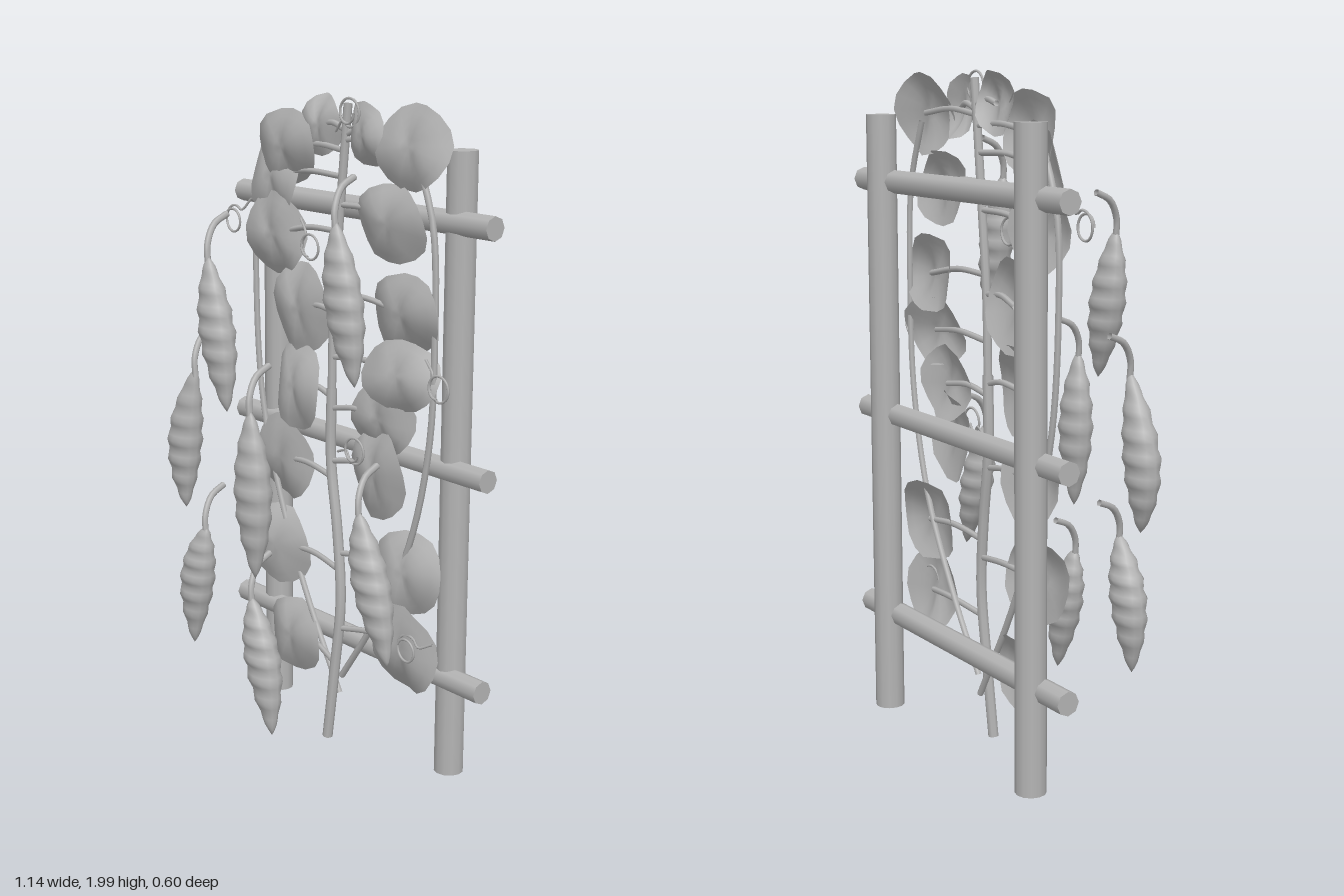
import * as THREE from 'three';
import { mergeVertices } from 'three/addons/utils/BufferGeometryUtils.js';

const grey = new THREE.MeshStandardMaterial({ color: 0xb4b4b4, side: THREE.DoubleSide });
grey.name = 'plain grey';
const V = (x, y, z) => new THREE.Vector3(x, y, z);

function add(parent, name, geometry) {
  const mesh = new THREE.Mesh(geometry, grey);
  mesh.name = name;
  parent.add(mesh);
  return mesh;
}

function addTube(parent, name, points, radius, segments = 10, sides = 6) {
  return add(parent, name, new THREE.TubeGeometry(new THREE.CatmullRomCurve3(points), segments, radius, sides));
}

// Merge seams so that the bent surface stays smooth
function smooth(geometry) {
  geometry.deleteAttribute('uv');
  geometry.deleteAttribute('normal');
  const merged = mergeVertices(geometry, 1e-5);
  merged.computeVertexNormals();
  return merged;
}

// Broad leaf: a thin disc, folded along its vein and rippled at the rim
function leafGeometry(rx, ry, phase) {
  const g = new THREE.RingGeometry(0, 1, 16, 5);
  const p = g.attributes.position;
  for (let i = 0; i < p.count; i++) {
    const x = p.getX(i), y = p.getY(i);
    const r = Math.hypot(x, y), a = Math.atan2(y, x);
    const z = 0.018 - 0.034 * r * r + 0.012 * r * r * Math.sin(3 * a + phase)
      - 0.012 * Math.exp(-x * x * 25);
    const edge = 1 + 0.03 * Math.sin(2 * a + phase);
    p.setXYZ(i, x * rx * edge, y * ry * edge, z);
  }
  return smooth(g);
}

// Pod: lens-shaped section, pinched between the seeds, bent along a curve
function podGeometry(top, mid, bottom) {
  const control = mid.clone().multiplyScalar(2).addScaledVector(top, -0.5).addScaledVector(bottom, -0.5);
  const path = new THREE.QuadraticBezierCurve3(bottom, control, top);
  const rows = 28, profile = [];
  for (let i = 0; i <= rows; i++) {
    profile.push(new THREE.Vector2(Math.max(Math.pow(Math.sin(Math.PI * i / rows), 0.75), 0), i / rows));
  }
  const g = new THREE.LatheGeometry(profile, 12);
  const p = g.attributes.position;
  for (let i = 0; i < p.count; i++) {
    const t = p.getY(i);
    const c = path.getPoint(t);
    const bump = Math.cos(t * Math.PI * 14);
    p.setXYZ(i, c.x + p.getX(i) * 0.066 * (1 - 0.025 * bump), c.y, c.z + p.getZ(i) * 0.046 * (1 - 0.13 * bump));
  }
  return smooth(g);
}

export function createModel() {
  const model = new THREE.Group();
  model.name = 'climbingBeanTrellis';

  // Trellis
  const trellis = new THREE.Group();
  trellis.name = 'trellis';
  model.add(trellis);
  for (const s of [-1, 1]) {
    add(trellis, s < 0 ? 'rightPost' : 'leftPost', new THREE.CylinderGeometry(0.045, 0.045, 1.86, 12))
      .position.set(s * 0.415, 0.93, -0.257);
  }
  for (const y of [0.305, 0.945, 1.66]) {
    const rail = add(trellis, 'rail', new THREE.CylinderGeometry(0.035, 0.035, 1.14, 8));
    rail.rotation.z = Math.PI / 2;
    rail.position.set(0, y, -0.236);
  }

  // Climbing stems
  const mainPoints = [[0, 0], [0.025, 0.23], [0.045, 0.46], [0.02, 0.68], [-0.02, 0.9], [-0.018, 1.12],
    [-0.012, 1.36], [0.01, 1.6], [0.03, 1.8], [0.048, 1.97]]
    .map(([x, y], i) => V(x, y, -0.125 - 0.025 * Math.min(i / 4, 1)));
  const main = new THREE.CatmullRomCurve3(mainPoints);
  const stems = new THREE.Group();
  stems.name = 'stems';
  model.add(stems);
  addTube(stems, 'mainStemLower', mainPoints.slice(0, 6), 0.016, 30, 8);
  addTube(stems, 'mainStemUpper', mainPoints.slice(5), 0.013, 24, 8);
  addTube(stems, 'rightSideStem', [[0.01, 0.14], [-0.17, 0.45], [-0.29, 0.72], [-0.38, 1.02], [-0.41, 1.35],
    [-0.4, 1.62], [-0.32, 1.82]].map(([x, y]) => V(x, y, -0.165)), 0.01, 30);
  addTube(stems, 'leftSideStem', [[0.02, 0.2], [0.17, 0.42], [0.32, 0.7], [0.4, 1.02], [0.415, 1.35],
    [0.4, 1.65], [0.33, 1.84]].map(([x, y]) => V(x, y, -0.165)), 0.01, 30);

  // Leaves with their stalks: x, y, half width, half height, turn
  const leaves = [
    [-0.09, 1.9, 0.08, 0.092, 0], [-0.24, 1.825, 0.15, 0.118, 0.2], [-0.32, 1.735, 0.138, 0.13, 0.3],
    [-0.29, 1.56, 0.13, 0.128, 0.3], [-0.185, 1.34, 0.13, 0.143, 0.2], [-0.185, 1.1, 0.13, 0.14, 0.2],
    [-0.27, 0.85, 0.13, 0.14, -0.2], [-0.28, 0.565, 0.15, 0.125, -0.3], [-0.22, 0.27, 0.152, 0.12, 0],
    [0.13, 1.885, 0.075, 0.097, 0], [0.31, 1.865, 0.138, 0.12, 0.1], [0.24, 1.645, 0.16, 0.112, -0.15],
    [0.285, 1.39, 0.16, 0.12, 0.1], [0.29, 1.215, 0.15, 0.105, 0.1], [0.195, 1.065, 0.14, 0.112, 0.2],
    [0.195, 0.9, 0.138, 0.14, 0.2], [0.31, 0.62, 0.142, 0.13, 0.2], [0.325, 0.385, 0.13, 0.14, -0.1]];
  const foliage = new THREE.Group();
  foliage.name = 'foliage';
  model.add(foliage);
  leaves.forEach(([x, y, rx, ry, turn], i) => {
    const z = i % 2 ? -0.136 : -0.154;
    const leaf = add(foliage, 'leaf', leafGeometry(rx, ry, i * 1.7));
    leaf.position.set(x, y, z);
    leaf.rotation.set(0.13 * Math.sin(i * 2.3), 0.14 * Math.cos(i * 1.9), turn);
    const start = main.getPoint(Math.min((y - 0.03) / 1.97, 0.97));
    const mid = V((start.x + x) / 2, (start.y + y) / 2 + 0.015, -0.155);
    addTube(foliage, 'leafStalk', [start, mid, V(x, y, z - 0.008)], 0.009);
  });

  // Pods: depth, then x and y of top, middle and bottom
  const pods = [
    [0.09, 0.29, 1.68, 0.32, 1.46, 0.375, 1.23], [0.195, -0.16, 1.54, -0.127, 1.32, -0.075, 1.09],
    [0.105, -0.36, 1.16, -0.428, 0.92, -0.42, 0.7], [0.25, 0.11, 1.14, 0.115, 0.9, 0.13, 0.645],
    [0.09, 0.4, 0.88, 0.447, 0.68, 0.525, 0.455], [0.12, -0.295, 0.67, -0.35, 0.49, -0.365, 0.265],
    [0.18, 0.02, 0.54, 0.063, 0.36, 0.115, 0.13]];
  pods.forEach(([z, tx, ty, mx, my, bx, by]) => {
    const pod = new THREE.Group();
    pod.name = 'pod';
    model.add(pod);
    add(pod, 'podBody', podGeometry(V(tx, ty, z + 0.005), V(mx, my, z), V(bx, by, z + 0.005)));
    addTube(pod, 'podStalk', [V(tx - 0.035, ty + 0.11, z - 0.09), V(tx - 0.025, ty + 0.085, z - 0.035),
      V(tx - 0.01, ty + 0.03, z), V(tx, ty - 0.03, z + 0.005)], 0.01);
  });

  // Curling tendrils: centre x, y and the angle where the tail leaves
  const tendrils = [[-0.47, 1.585, 0.8], [-0.09, 1.545, 2.3], [0.085, 1.95, 3.8],
    [0.48, 1.215, 2.4], [0.12, 0.96, 3.4], [0.365, 0.405, 0.4]];
  for (const [x, y, a] of tendrils) {
    const points = [V(x + 0.1 * Math.cos(a), y + 0.1 * Math.sin(a), -0.14)];
    for (let i = 0; i <= 14; i++) {
      const b = a + i * 0.62, r = 0.045 - i * 0.001;
      points.push(V(x + r * Math.cos(b), y + r * Math.sin(b), -0.13 + i * 0.0012));
    }
    addTube(foliage, 'tendril', points, 0.004, 48, 5);
  }
  return model;
}
